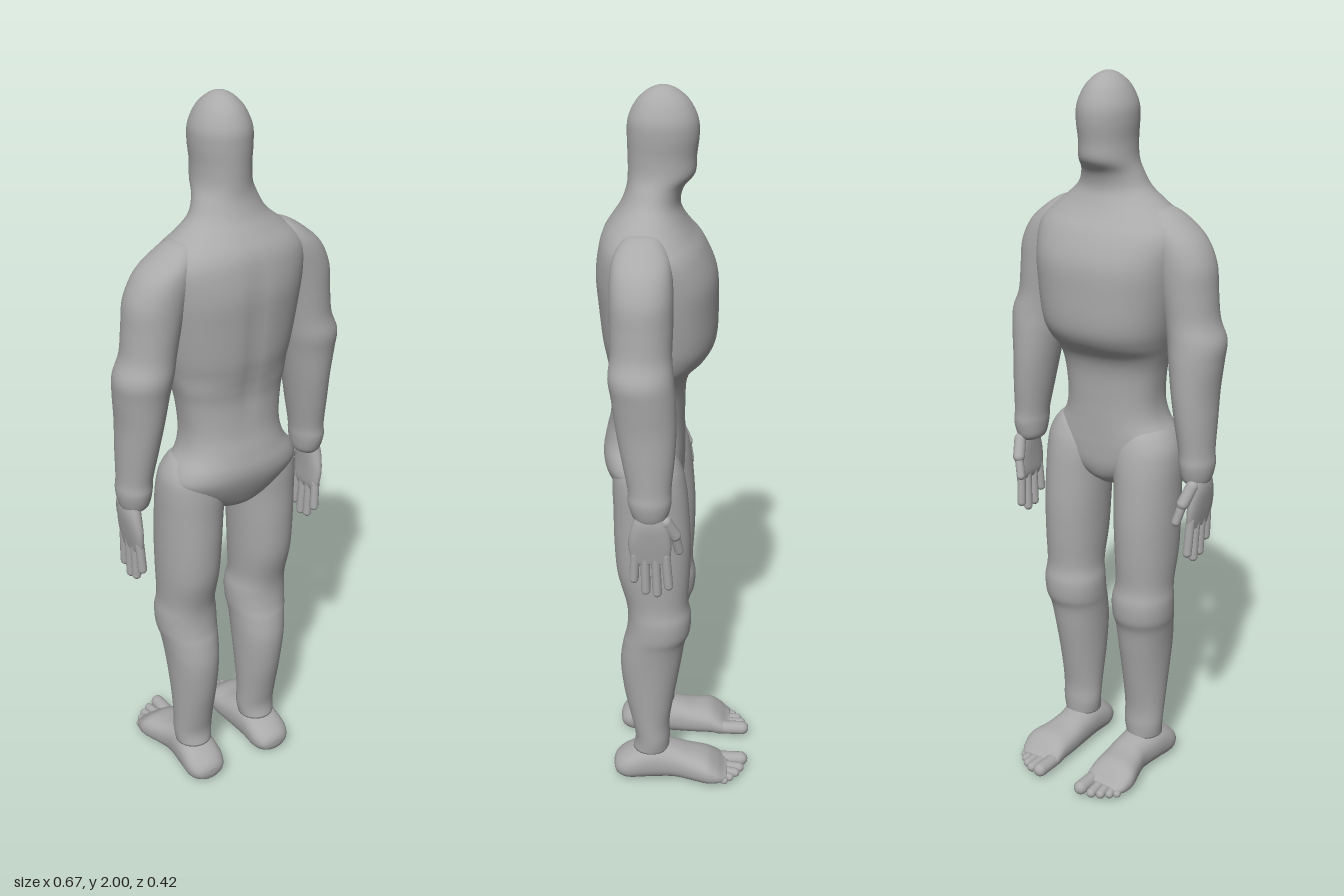
import * as THREE from 'three';

const skin = new THREE.MeshStandardMaterial({ color: 0xaaaaaa });
skin.name = 'grey skin';

// Catmull-Rom blend of two neighbouring cross-sections
function blend(list, i, t) {
  const at = k => list[Math.max(0, Math.min(list.length - 1, k))];
  const [a, b, c, d] = [at(i - 1), at(i), at(i + 1), at(i + 2)];
  return b.map((v, k) => 0.5 * (2 * v + (c[k] - a[k]) * t
    + (2 * a[k] - 5 * v + 4 * c[k] - d[k]) * t * t
    + (3 * v - a[k] - 3 * c[k] + d[k]) * t * t * t));
}

// Smooth skin through ascending sections [y, x0, x1, z0, z1, roundness]
function loft(sections, sides = 40, steps = 5, sculpt = null) {
  const rings = [];
  for (let i = 0; i < sections.length - 1; i++) {
    for (let s = 0; s < steps; s++) rings.push(blend(sections, i, s / steps));
  }
  rings.push(sections[sections.length - 1]);
  const pos = [], index = [];
  for (const [y, x0, x1, z0, z1, n] of rings) {
    for (let j = 0; j < sides; j++) {
      const a = j / sides * Math.PI * 2, c = Math.cos(a), d = Math.sin(a);
      const p = [
        (x0 + x1) / 2 + (x1 - x0) / 2 * Math.sign(c) * Math.abs(c) ** (2 / n), y,
        (z0 + z1) / 2 + (z1 - z0) / 2 * Math.sign(d) * Math.abs(d) ** (2 / n)];
      if (sculpt) p[2] += sculpt(p[0], p[1], d);
      pos.push(...p);
    }
  }
  for (let i = 0; i < rings.length - 1; i++) {
    for (let j = 0; j < sides; j++) {
      const k = (j + 1) % sides, a = i * sides, b = a + sides;
      index.push(a + j, b + j, a + k, b + j, b + k, a + k);
    }
  }
  // end caps
  const top = (rings.length - 1) * sides, mid = pos.length / 3;
  for (const [y, x0, x1, z0, z1] of [rings[0], rings[rings.length - 1]]) {
    pos.push((x0 + x1) / 2, y, (z0 + z1) / 2);
  }
  for (let j = 0; j < sides; j++) {
    const k = (j + 1) % sides;
    index.push(mid, j, k, mid + 1, top + k, top + j);
  }
  const g = new THREE.BufferGeometry();
  g.setAttribute('position', new THREE.Float32BufferAttribute(pos, 3));
  g.setIndex(index);
  g.computeVertexNormals();
  return g;
}

const mirror = (list, s) => s > 0 ? list
  : list.map(([y, x0, x1, ...rest]) => [y, -x1, -x0, ...rest]);

function add(group, name, geometry) {
  const m = new THREE.Mesh(geometry, skin);
  m.name = name;
  group.add(m);
  return m;
}

// Rounded finger or toe between two points
function digit(group, name, s, a, b, r) {
  const p = new THREE.Vector3(a[0] * s, a[1], a[2]);
  const q = new THREE.Vector3(b[0] * s, b[1], b[2]);
  const dir = q.clone().sub(p);
  const m = add(group, name, new THREE.CapsuleGeometry(r, dir.length(), 6, 14));
  m.position.copy(p).add(q).multiplyScalar(0.5);
  m.quaternion.setFromUnitVectors(new THREE.Vector3(0, 1, 0), dir.normalize());
}

// Head, neck and trunk: [y, half width, front z, back z, roundness]
const body = [
  [0.885, 0.04, 0.03, 0.10, 2], [0.91, 0.085, 0.0, 0.15, 2.1],
  [0.95, 0.15, -0.015, 0.175, 2.3], [1.0, 0.188, -0.018, 0.195, 2.4],
  [1.04, 0.18, -0.018, 0.2, 2.4], [1.085, 0.15, -0.018, 0.192, 2.4],
  [1.14, 0.14, -0.018, 0.18, 2.4], [1.22, 0.148, -0.022, 0.175, 2.4],
  [1.27, 0.16, -0.04, 0.18, 2.4], [1.31, 0.172, -0.08, 0.188, 2.3],
  [1.36, 0.185, -0.102, 0.197, 2.3], [1.45, 0.2, -0.105, 0.205, 2.3],
  [1.53, 0.21, -0.1, 0.21, 2.3], [1.6, 0.215, -0.07, 0.202, 2.2],
  [1.64, 0.19, -0.04, 0.19, 2.1], [1.675, 0.145, -0.018, 0.168, 2],
  [1.71, 0.105, -0.006, 0.145, 2], [1.75, 0.085, -0.015, 0.13, 2],
  [1.785, 0.075, -0.043, 0.126, 2], [1.83, 0.073, -0.047, 0.126, 2],
  [1.88, 0.077, -0.053, 0.127, 2], [1.92, 0.075, -0.05, 0.124, 2],
  [1.96, 0.058, -0.031, 0.105, 2], [1.985, 0.036, -0.005, 0.079, 2],
  [1.997, 0.016, 0.018, 0.056, 2], [2.0, 0.002, 0.035, 0.039, 2],
].map(([y, w, ...r]) => [y, -w, w, ...r]);

// Shallow groove down the spine
const spine = (x, y, d) => d > 0
  ? -0.007 * Math.exp(-((x / 0.022) ** 2)) * Math.exp(-(((y - 1.4) / 0.2) ** 4)) : 0;

const arm = [
  [0.945, 0.262, 0.308, 0.025, 0.085, 2], [0.96, 0.243, 0.32, 0.01, 0.1, 2],
  [1.0, 0.235, 0.328, 0.0, 0.112, 2], [1.04, 0.232, 0.325, 0.0, 0.113, 2],
  [1.12, 0.218, 0.325, -0.008, 0.128, 2], [1.2, 0.204, 0.325, -0.012, 0.142, 2],
  [1.28, 0.19, 0.332, -0.01, 0.152, 2], [1.335, 0.18, 0.334, -0.005, 0.16, 2],
  [1.39, 0.17, 0.313, 0.0, 0.155, 2], [1.46, 0.155, 0.305, -0.002, 0.156, 2],
  [1.53, 0.138, 0.297, -0.002, 0.157, 2.1], [1.59, 0.12, 0.268, 0.003, 0.155, 2.1],
  [1.63, 0.115, 0.225, 0.015, 0.145, 2], [1.66, 0.12, 0.18, 0.04, 0.12, 2],
  [1.668, 0.14, 0.15, 0.07, 0.09, 2],
];

const palm = [
  [0.825, 0.282, 0.3, 0.008, 0.098, 2.6], [0.845, 0.277, 0.304, 0.002, 0.108, 2.6],
  [0.89, 0.276, 0.312, 0.0, 0.112, 2.4], [0.94, 0.274, 0.318, 0.008, 0.102, 2.2],
  [0.98, 0.272, 0.314, 0.02, 0.09, 2],
];

const leg = [
  [0.1, 0.06, 0.165, 0.02, 0.125, 2], [0.14, 0.054, 0.17, 0.018, 0.118, 2],
  [0.2, 0.053, 0.172, 0.018, 0.128, 2], [0.3, 0.047, 0.178, 0.002, 0.148, 2],
  [0.4, 0.042, 0.186, -0.015, 0.157, 2.1], [0.47, 0.038, 0.195, -0.026, 0.148, 2.1],
  [0.51, 0.034, 0.203, -0.04, 0.138, 2.1], [0.56, 0.034, 0.205, -0.043, 0.133, 2.1],
  [0.61, 0.042, 0.2, -0.035, 0.138, 2.1], [0.7, 0.038, 0.204, -0.04, 0.16, 2.1],
  [0.8, 0.033, 0.206, -0.042, 0.167, 2.1], [0.9, 0.028, 0.206, -0.036, 0.168, 2.1],
  [0.97, 0.02, 0.205, -0.028, 0.17, 2.1], [1.02, 0.03, 0.196, -0.015, 0.165, 2.1],
  [1.06, 0.06, 0.168, 0.01, 0.14, 2], [1.075, 0.1, 0.13, 0.06, 0.09, 2],
];

// Foot from heel to ball: [-z, x0, x1, sole y, top y, roundness]
const foot = [
  [-0.182, 0.1, 0.128, 0.03, 0.05, 2], [-0.172, 0.073, 0.158, 0.01, 0.068, 2],
  [-0.14, 0.057, 0.175, 0.0, 0.09, 2.3], [-0.08, 0.055, 0.173, 0.0, 0.115, 2.3],
  [-0.01, 0.054, 0.165, 0.0, 0.105, 2.3], [0.04, 0.053, 0.175, 0.0, 0.092, 2.4],
  [0.09, 0.053, 0.19, 0.0, 0.083, 2.4], [0.12, 0.053, 0.187, 0.003, 0.064, 2.5],
  [0.14, 0.055, 0.178, 0.01, 0.045, 2.5], [0.152, 0.06, 0.165, 0.015, 0.037, 2.5],
];

export function createModel() {
  const model = new THREE.Group();
  model.name = 'figure';
  add(model, 'headAndTrunk', loft(body, 64, 5, spine));

  for (const [side, s] of [['left', -1], ['right', 1]]) {
    // the figure faces -z
    const armGroup = new THREE.Group(), legGroup = new THREE.Group();
    armGroup.name = side + 'ArmGroup';
    legGroup.name = side + 'LegGroup';
    model.add(armGroup, legGroup);

    add(armGroup, side + 'Arm', loft(mirror(arm, s)));
    add(armGroup, side + 'Palm', loft(mirror(palm, s), 28));
    // fingers, from index to little
    [[0.015, 0.008, 0.755], [0.042, 0.038, 0.733], [0.069, 0.068, 0.74], [0.095, 0.099, 0.775]]
      .forEach(([z0, z1, y], i) =>
        digit(armGroup, side + 'Finger' + (i + 1), s, [0.291, 0.85, z0], [0.287, y, z1], 0.0125));
    digit(armGroup, side + 'ThumbBase', s, [0.293, 0.95, 0.015], [0.28, 0.905, -0.008], 0.017);
    digit(armGroup, side + 'Thumb', s, [0.28, 0.905, -0.008], [0.266, 0.852, -0.018], 0.0125);

    add(legGroup, side + 'Leg', loft(mirror(leg, s)));
    add(legGroup, side + 'Foot', loft(mirror(foot, s), 36).rotateX(-Math.PI / 2));
    // toes, from big to little
    [[0.074, 0.074, -0.191, 0.02], [0.104, 0.108, -0.187, 0.014], [0.125, 0.132, -0.176, 0.013],
      [0.144, 0.152, -0.16, 0.012], [0.16, 0.168, -0.145, 0.011]]
      .forEach(([x0, x1, z, r], i) =>
        digit(legGroup, side + 'Toe' + (i + 1), s, [x0, 0.028, -0.115], [x1, r + 0.008, z], r));
  }
  return model;
}
